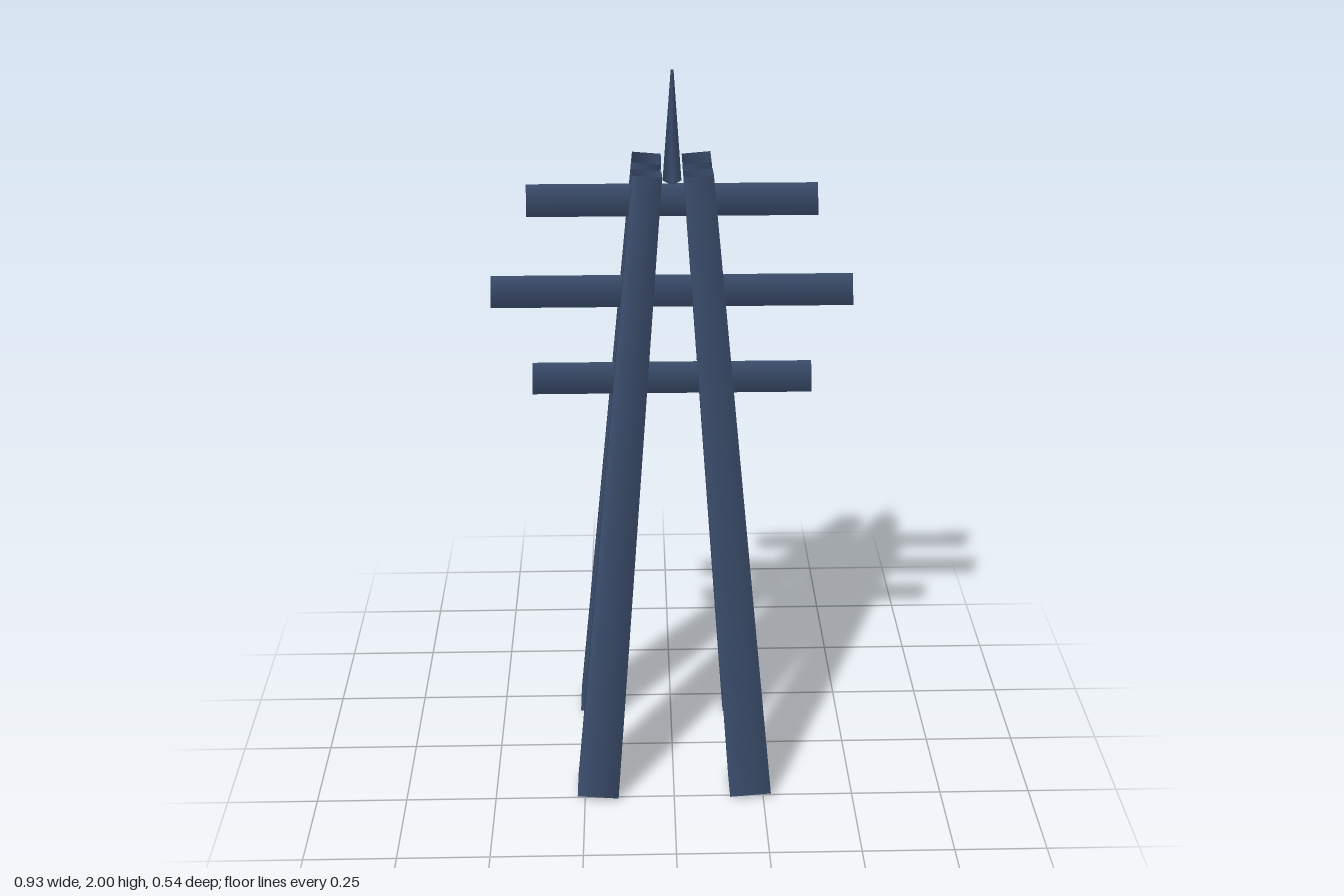
import * as THREE from 'three';

export function createModel() {
  const model = new THREE.Group();
  const navySteel = new THREE.MeshStandardMaterial({ color: 0x3b4d6c, side: THREE.DoubleSide });
  navySteel.name = 'navySteel';

  const add = (name, geometry) => {
    const mesh = new THREE.Mesh(geometry, navySteel);
    mesh.name = name;
    model.add(mesh);
    return mesh;
  };

  // Open, tapered square legs leaning in towards the top
  const up = new THREE.Vector3(0, 1, 0);
  for (const [sx, sz, name] of [
    [1, 1, 'frontLeftLeg'], [-1, 1, 'frontRightLeg'],
    [1, -1, 'backLeftLeg'], [-1, -1, 'backRightLeg'],
  ]) {
    const foot = new THREE.Vector3(0.2135 * sx, 0.01, 0.2135 * sz);
    const head = new THREE.Vector3(0.0635 * sx, 1.758, 0.0635 * sz);
    const axis = head.clone().sub(foot);
    const geometry = new THREE.CylinderGeometry(0.052, 0.081, axis.length(), 4, 1, true);
    geometry.rotateY(Math.PI / 4);
    const leg = add(name, geometry);
    leg.position.addVectors(foot, head).multiplyScalar(0.5);
    leg.quaternion.setFromUnitVectors(up, axis.normalize());
  }

  // Open three-sided cross arms with the ridge on top
  for (const [name, y, halfLength] of [
    ['upperCrossArm', 1.664, 0.367],
    ['middleCrossArm', 1.42, 0.466],
    ['lowerCrossArm', 1.176, 0.367],
  ]) {
    const geometry = new THREE.CylinderGeometry(0.048, 0.048, halfLength * 2, 3, 1, true);
    geometry.rotateZ(Math.PI / 2).rotateX(-Math.PI / 2);
    add(name, geometry).position.y = y;
  }

  // Thin three-sided spike
  const spike = add('topSpike', new THREE.CylinderGeometry(0.004, 0.0275, 0.285, 3, 1, true));
  spike.position.y = 2 - 0.285 / 2;

  return model;
}
